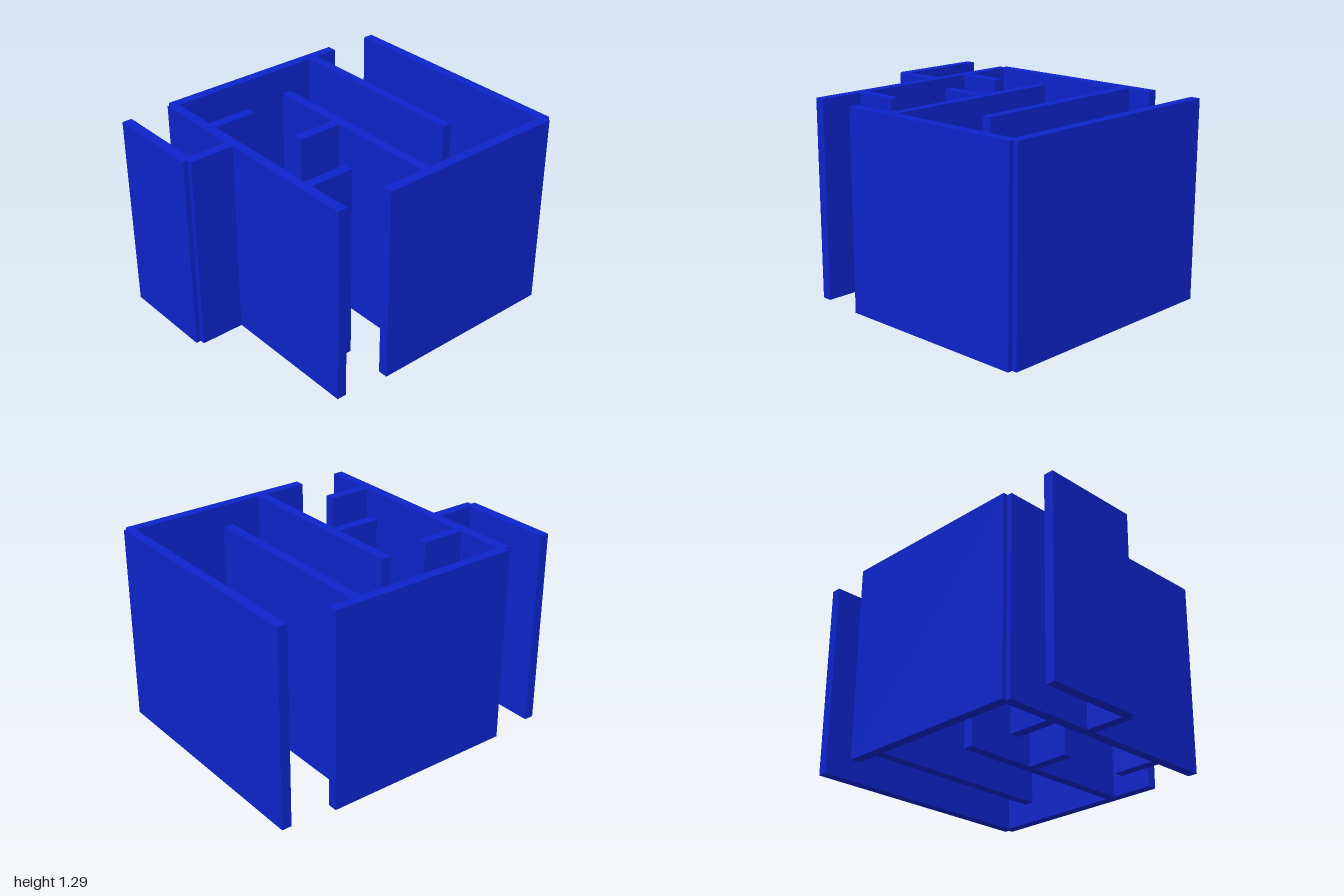
import * as THREE from 'three';

const HEIGHT = 1.29, THICK = 0.0645;

export function createModel() {
  const group = new THREE.Group();
  group.name = 'floorPlanWalls';
  const material = new THREE.MeshStandardMaterial({ color: 0x0d24cc });

  // A straight wall between two plan points, with square-cut ends
  function wall(name, x1, z1, x2, z2) {
    const alongX = z1 === z2;
    const geometry = new THREE.BoxGeometry(
      alongX ? Math.abs(x2 - x1) : THICK, HEIGHT, alongX ? THICK : Math.abs(z2 - z1));
    const mesh = new THREE.Mesh(geometry, material);
    mesh.name = name;
    mesh.position.set((x1 + x2) / 2, HEIGHT / 2, (z1 + z2) / 2);
    group.add(mesh);
  }

  // Outer walls
  wall('backWall', -0.806, -0.968, 0.806, -0.968);
  wall('leftWall', 0.806, -0.968, 0.806, 0.323);
  wall('rightWall', -0.806, -0.645, -0.806, 0.645);
  wall('frontWall', -0.806, 0.645, 0.806, 0.645);

  // Long inner walls
  wall('rearCorridorWall', -0.806, -0.455, 0.484, -0.455);
  wall('middleWall', -0.484, 0, 0.806, 0);

  // Short partitions
  wall('middlePartition', 0.029, 0, 0.029, 0.323);
  wall('rightPartition', -0.423, 0.323, -0.423, 0.645);
  wall('leftPartition', 0.481, 0.323, 0.481, 0.645);

  // Porch at the front
  wall('porchSideWall', -0.166, 0.645, -0.166, 0.968);
  wall('porchFrontWall', -0.806, 0.968, -0.166, 0.968);

  return group;
}
